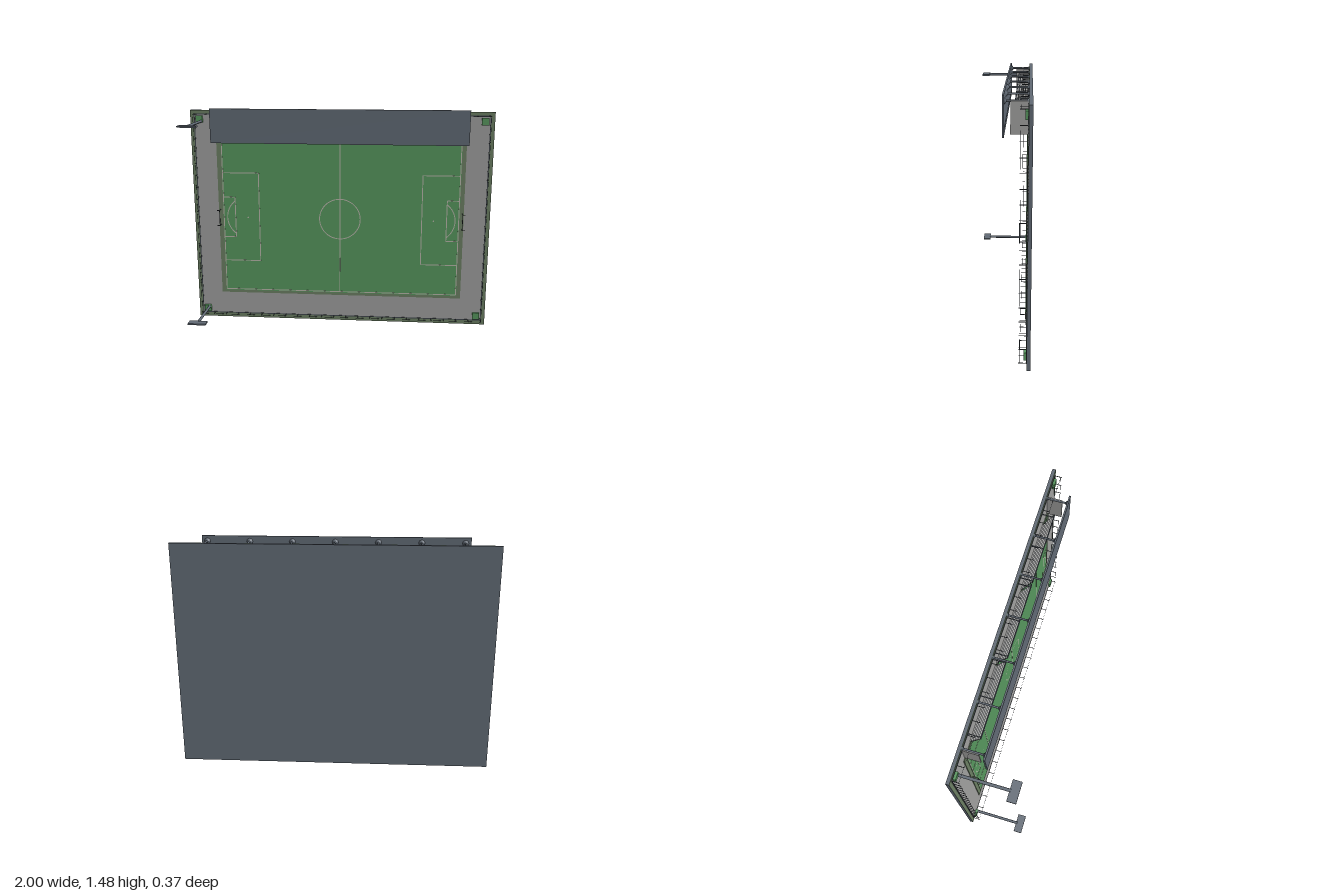
import * as THREE from 'three';

const mat = (name, color) => {
  const m = new THREE.MeshStandardMaterial({ color });
  m.name = name;
  return m;
};

export function createModel() {
  const slate = mat('slate', 0x626b76);
  const grass = mat('grass green', 0x58995f);
  const olive = mat('olive green', 0x6d8165);
  const concrete = mat('concrete grey', 0xa2a2a1);
  const paint = mat('line paint', 0xb9b8ac);
  const dark = mat('dark metal', 0x3f454c);

  const model = new THREE.Group();
  model.name = 'stadium';
  const group = (name) => {
    const g = new THREE.Group();
    g.name = name;
    model.add(g);
    return g;
  };
  // Box given by its limits on each axis
  const box = (parent, name, material, x0, x1, y0, y1, z0, z1) => {
    const m = new THREE.Mesh(new THREE.BoxGeometry(x1 - x0, y1 - y0, z1 - z0), material);
    m.position.set((x0 + x1) / 2, (y0 + y1) / 2, (z0 + z1) / 2);
    m.name = name;
    parent.add(m);
    return m;
  };
  // Pole running along z
  const pole = (parent, name, material, x, y, z0, z1, r, sides = 8, r2 = r) => {
    const g = new THREE.CylinderGeometry(r2, r, z1 - z0, sides).rotateX(Math.PI / 2);
    const m = new THREE.Mesh(g, material);
    m.position.set(x, y, (z0 + z1) / 2);
    m.name = name;
    parent.add(m);
  };

  // Layered ground
  const ground = group('ground');
  box(ground, 'baseSlab', slate, -1, 1, 0, 1.455, -0.188, -0.169);
  box(ground, 'outerVerge', olive, -1, 1, 0, 1.455, -0.169, -0.167);
  box(ground, 'apron', concrete, -0.975, 0.975, 0.03, 1.43, -0.167, -0.165);
  box(ground, 'pitchBorder', olive, -0.83, 0.827, 0.187, 1.27, -0.165, -0.16);
  box(ground, 'pitch', grass, -0.8, 0.8, 0.205, 1.255, -0.16, -0.158);

  // Pitch markings
  const marks = group('markings');
  const cy = 0.731, lw = 0.003, z0 = -0.158, z1 = -0.157;
  const frame = (name, xa, xb, ya, yb) => {
    for (const x of [xa, xb]) box(marks, name, paint, x - lw, x + lw, ya, yb, z0, z1);
    for (const y of [ya, yb]) box(marks, name, paint, xa, xb, y - lw, y + lw, z0, z1);
  };
  const ring = (name, x, r, start, length) => {
    const m = new THREE.Mesh(new THREE.RingGeometry(r - lw, r + lw, 48, 1, start, length), paint);
    m.position.set(x, cy, z1);
    m.name = name;
    marks.add(m);
  };
  frame('touchLine', -0.795, 0.795, 0.213, 1.248);
  box(marks, 'halfwayLine', paint, -lw, lw, 0.213, 1.248, z0, z1);
  ring('centreCircle', 0, 0.138, 0, Math.PI * 2);
  for (const s of [-1, 1]) {
    const [a, b, c] = [0.795, 0.55, 0.715].map((v) => v * s);
    frame('penaltyArea', Math.min(a, b), Math.max(a, b), 0.424, 1.038);
    frame('goalArea', Math.min(a, c), Math.max(a, c), 0.592, 0.87);
    ring('arc', 0.628 * s, 0.143, (s > 0 ? 0 : Math.PI) - 0.92, 1.84);
    const spot = new THREE.Mesh(new THREE.CircleGeometry(0.005, 12), paint);
    spot.position.set(0.628 * s, cy, z1);
    spot.name = 'penaltySpot';
    marks.add(spot);
  }

  // Goals
  const goals = group('goals');
  for (const s of [-1, 1]) {
    for (const y of [0.678, 0.784]) {
      pole(goals, 'goalPost', dark, 0.817 * s, y, -0.16, -0.12, 0.002);
      box(goals, 'netArm', dark, 0.825 * s - 0.01, 0.825 * s + 0.01, y - 0.002, y + 0.002, -0.124, -0.12);
    }
    box(goals, 'crossbar', dark, 0.817 * s - 0.002, 0.817 * s + 0.002, 0.678, 0.784, -0.124, -0.12);
  }

  // Perimeter fence: posts with a low kerb and a fine top wire
  const fence = group('fence');
  const fx = 0.972, fy0 = 0.032, fy1 = 1.43;
  for (let i = 0; i <= 17; i++) {
    const y = fy0 + ((fy1 - fy0) * i) / 17;
    for (const x of [-fx, fx]) pole(fence, 'fencePost', dark, x, y, -0.167, -0.122, 0.002, 6);
  }
  for (let i = 1; i < 23; i++) {
    const x = -fx + (2 * fx * i) / 23;
    for (const y of [fy0, fy1]) pole(fence, 'fencePost', dark, x, y, -0.167, -0.122, 0.002, 6);
  }
  for (const [z, w, h] of [[-0.167, 0.003, 0.004], [-0.128, 0.0007, 0.0014]]) {
    for (const x of [-fx, fx]) box(fence, 'fenceRail', dark, x - w, x + w, fy0, fy1, z, z + h);
    for (const y of [fy0, fy1]) box(fence, 'fenceRail', dark, -fx, fx, y - w, y + w, z, z + h);
  }

  // Corner blocks
  const corners = group('cornerBlocks');
  for (const x of [-0.938, 0.938])
    for (const y of [0.064, 1.396])
      box(corners, 'cornerBlock', grass, x - 0.023, x + 0.023, y - 0.023, y + 0.023, -0.167, -0.15);

  // Floodlight masts
  const lights = group('floodlights');
  for (const y of [0.077, 1.382]) {
    pole(lights, 'mast', slate, -0.925, y, -0.167, 0.14, 0.009, 12);
    box(lights, 'lampHead', slate, -0.985, -0.865, y - 0.005, y + 0.005, 0.132, 0.185);
  }

  // Three blocks of stepped seating
  const stand = group('grandstand');
  const rows = 6;
  for (const [xa, xb] of [[-0.715, -0.255], [-0.235, 0.23], [0.25, 0.712]]) {
    for (let i = 0; i < rows; i++) {
      const y = 1.282 + i * 0.024, z = -0.152 + i * 0.012;
      box(stand, 'riser', concrete, xa, xb, y, y + 0.004, z - 0.013, z - 0.003);
      box(stand, 'seatRow', slate, xa, xb, y, y + 0.026, z - 0.003, z + 0.001);
    }
    for (const x of [xa + 0.01, (xa + xb) / 2, xb - 0.01])
      pole(stand, 'standLeg', slate, x, 1.41, -0.167, -0.095, 0.003, 6);
  }
  for (const x of [-0.805, 0.805])
    box(stand, 'endWall', concrete, x - 0.003, x + 0.003, 1.27, 1.445, -0.167, -0.07);

  // Roof with columns and brackets
  const roof = group('roof');
  box(roof, 'roofPanel', slate, -0.833, 0.83, 1.255, 1.477, -0.037, -0.027);
  box(roof, 'purlin', slate, -0.82, 0.82, 1.298, 1.303, -0.04, -0.037);
  for (let i = -3; i <= 3; i++) {
    const x = i * 0.2655;
    pole(roof, 'column', slate, x, 1.443, -0.167, -0.037, 0.006);
    pole(roof, 'columnBracket', slate, x, 1.443, -0.05, -0.037, 0.006, 8, 0.02);
    pole(roof, 'columnFoot', slate, x, 1.443, -0.167, -0.159, 0.012);
  }
  return model;
}
